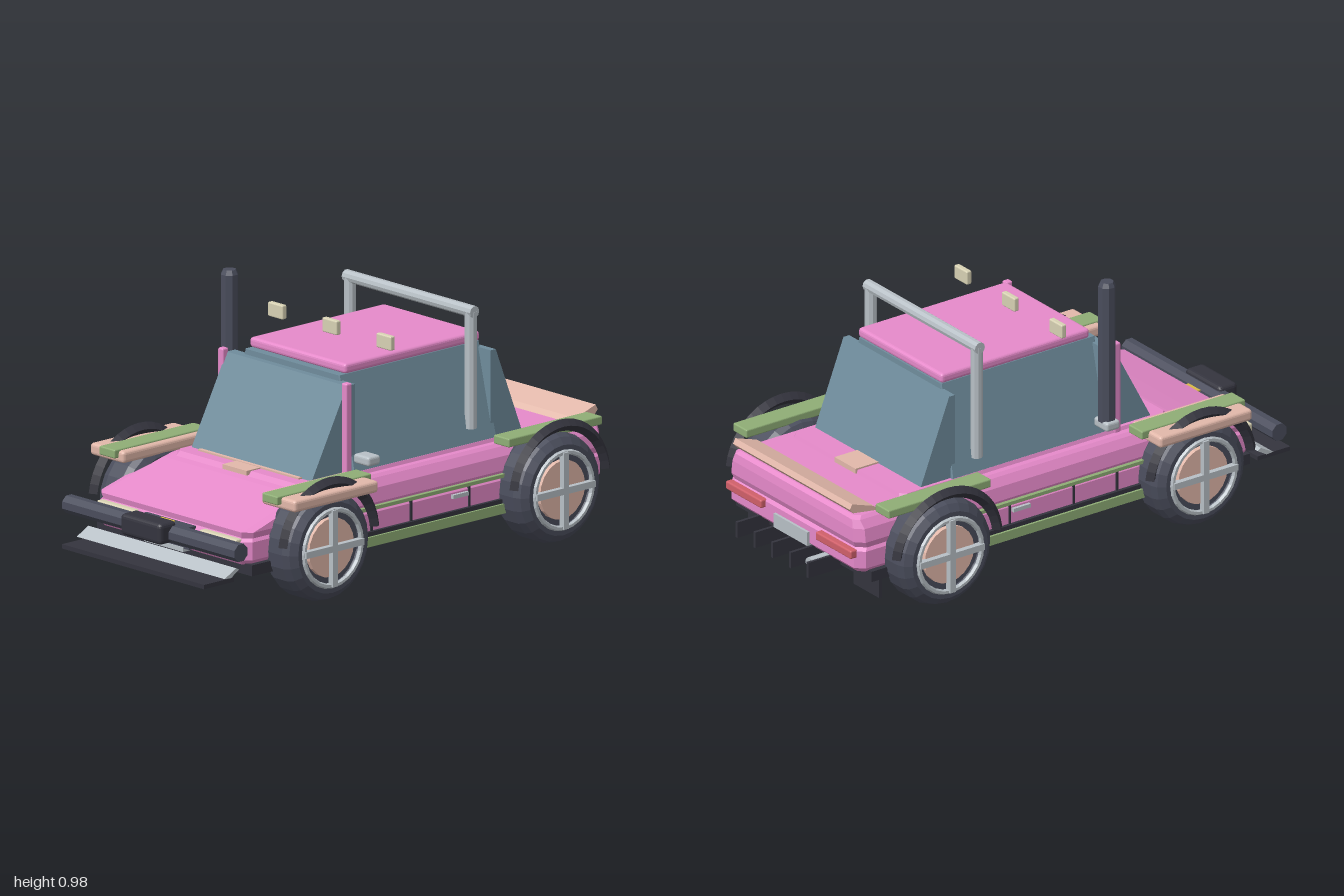
import * as THREE from 'three';
import { RoundedBoxGeometry } from 'three/addons/geometries/RoundedBoxGeometry.js';

const PINK = 0xe68aca, GLASS = 0x6f8c9c, DARK = 0x4a4d5c, BLACK = 0x34343e, GREY = 0xb8c0c6,
  GREEN = 0x8fae76, PEACH = 0xe2b8aa, CREAM = 0xd8d2b4, RED = 0xd0606a, YELLOW = 0xd8b848;

export function createModel() {
  const model = new THREE.Group();
  const mats = {};
  const mat = (color) => (mats[color] ??= new THREE.MeshStandardMaterial({ color, flatShading: true }));

  function add(name, geometry, color, parent = model) {
    const mesh = new THREE.Mesh(geometry, mat(color));
    mesh.name = name;
    parent.add(mesh);
    return mesh;
  }

  // Box given by its limits on each axis; r rounds the edges
  function box(name, color, [x0, x1], [y0, y1], [z0, z1], r = 0) {
    const size = [x1 - x0, y1 - y0, z1 - z0];
    const g = r ? new RoundedBoxGeometry(...size, 2, r) : new THREE.BoxGeometry(...size);
    g.translate((x0 + x1) / 2, (y0 + y1) / 2, (z0 + z1) / 2);
    return add(name, g, color);
  }

  // The same box on both sides
  function pair(name, color, [x0, x1], y, z, r) {
    box(name + 'Left', color, [x0, x1], y, z, r);
    box(name + 'Right', color, [-x1, -x0], y, z, r);
  }

  // Side profile of [z, y] points stretched across the width
  function profile(name, color, points, halfWidth) {
    const shape = new THREE.Shape(points.map(([z, y]) => new THREE.Vector2(z, y)));
    const g = new THREE.ExtrudeGeometry(shape, { depth: halfWidth * 2, bevelEnabled: false });
    g.translate(0, 0, -halfWidth).rotateY(-Math.PI / 2);
    return add(name, g, color);
  }

  // Stack of cut-corner rectangles, each [y, halfWidth, zBack, zFront, corner]
  function loft(name, color, rings) {
    const pos = [], idx = [], n = 8;
    for (const [y, w, b, f, c] of rings) {
      const ring = [[w, b + c], [w, f - c], [w - c, f], [c - w, f], [-w, f - c], [-w, b + c], [c - w, b], [w - c, b]];
      for (const [x, z] of ring) pos.push(x, y, z);
    }
    for (let r = 0; r < rings.length - 1; r++) {
      for (let i = 0; i < n; i++) {
        const a = r * n + i, b = r * n + (i + 1) % n;
        idx.push(a, a + n, b, b, a + n, b + n);
      }
    }
    const top = (rings.length - 1) * n;
    for (let i = 1; i < n - 1; i++) {
      idx.push(0, i, i + 1);
      idx.push(top, top + i + 1, top + i);
    }
    const g = new THREE.BufferGeometry();
    g.setAttribute('position', new THREE.Float32BufferAttribute(pos, 3));
    g.setIndex(idx);
    g.computeVertexNormals();
    return add(name, g, color);
  }

  // Body shell
  box('floor', BLACK, [-0.4, 0.4], [0.13, 0.17], [-0.86, 0.8]);
  loft('lowerBody', PINK, [
    [0.165, 0.375, -0.89, 0.805, 0.02], [0.185, 0.392, -0.91, 0.82, 0.03],
    [0.25, 0.392, -0.91, 0.82, 0.03], [0.265, 0.38, -0.895, 0.81, 0.03]]);
  loft('upperBody', PINK, [
    [0.262, 0.385, -0.9, 0.81, 0.03], [0.285, 0.392, -0.91, 0.815, 0.03],
    [0.335, 0.385, -0.91, 0.64, 0.03], [0.365, 0.365, -0.905, 0.53, 0.02], [0.375, 0.352, -0.89, 0.48, 0.02]]);
  loft('cabinBase', PINK, [[0.36, 0.335, -0.68, 0.51, 0.02], [0.388, 0.325, -0.67, 0.49, 0.02]]);

  // Cabin glass, roof and pillars
  loft('sideWindows', GLASS, [[0.385, 0.325, -0.45, 0.24, 0.004], [0.725, 0.243, -0.44, 0.235, 0.004]]);
  profile('windshield', GLASS, [[0.43, 0.386], [0.26, 0.705], [0.22, 0.705], [0.22, 0.386]], 0.31);
  profile('rearWindow', GLASS, [[-0.58, 0.386], [-0.43, 0.386], [-0.43, 0.705], [-0.455, 0.705]], 0.312);
  box('roof', PINK, [-0.248, 0.248], [0.725, 0.762], [-0.44, 0.21], 0.012);
  pair('pillar', PINK, [0.305, 0.333], [0.37, 0.72], [0.255, 0.283], 0.006);

  // Hood and deck trim
  box('cowlStrip', PEACH, [-0.26, 0.26], [0.38, 0.394], [0.43, 0.445]);
  box('hoodVent', PEACH, [-0.062, 0.062], [0.375, 0.392], [0.425, 0.512]);
  box('deckVent', PEACH, [-0.062, 0.062], [0.375, 0.394], [-0.68, -0.58]);
  profile('spoiler', PEACH, [[-0.79, 0.372], [-0.81, 0.392], [-0.905, 0.424], [-0.915, 0.405], [-0.9, 0.388]], 0.345);

  // Roll bar
  const barPath = new THREE.CurvePath();
  const corners = [[-0.312, 0.44], [-0.312, 0.867], [0.312, 0.867], [0.312, 0.44]]
    .map(([x, y]) => new THREE.Vector3(x, y, -0.335));
  for (let i = 0; i < 3; i++) {
    const along = corners[i + 1].clone().sub(corners[i]);
    const length = along.length() + (i === 1 ? 0.04 : 0);
    const g = new THREE.CylinderGeometry(0.022, 0.022, length, 10);
    if (i === 1) g.rotateZ(Math.PI / 2);
    const middle = corners[i].clone().add(corners[i + 1]).multiplyScalar(0.5);
    g.translate(middle.x, middle.y, middle.z);
    add('rollBar' + ['Right', 'Top', 'Left'][i], g, GREY);
  }

  // Snorkel, roof lamps and mirrors
  const snorkel = new THREE.LatheGeometry(
    [[0, 0.435], [0.026, 0.435], [0.032, 0.445], [0.032, 0.97], [0.024, 0.987], [0, 0.987]]
      .map(([r, y]) => new THREE.Vector2(r, y)), 8, Math.PI / 8);
  add('snorkel', snorkel.translate(-0.355, 0, 0.205), DARK);
  for (const x of [-0.28, 0, 0.28]) {
    box('roofLamp', CREAM, [x - 0.038, x + 0.038], [0.795, 0.847], [0.034, 0.056], 0.005);
  }
  pair('mirror', GREY, [0.315, 0.395], [0.42, 0.455], [0.175, 0.235], 0.01);

  // Wheels with rims and arches
  const tireProfile = [[0.13, -0.08], [0.165, -0.08], [0.188, -0.065], [0.2, -0.04], [0.2, 0.03],
    [0.19, 0.058], [0.165, 0.078], [0.145, 0.078], [0.14, 0.055], [0, 0.055]];
  const tire = new THREE.LatheGeometry(tireProfile.map(([r, y]) => new THREE.Vector2(r, y)), 24).rotateZ(-Math.PI / 2);
  const innerDisc = new THREE.CylinderGeometry(0.14, 0.14, 0.02, 24).rotateZ(Math.PI / 2).translate(-0.07, 0, 0);
  const hubDisc = new THREE.CylinderGeometry(0.108, 0.108, 0.03, 20).rotateZ(Math.PI / 2).translate(0.058, 0, 0);
  const rim = new THREE.TorusGeometry(0.138, 0.01, 6, 24).rotateY(Math.PI / 2).translate(0.078, 0, 0);
  const spoke = new THREE.BoxGeometry(0.024, 0.28, 0.024).translate(0.082, 0, 0);
  const arch = new THREE.TorusGeometry(0.222, 0.022, 4, 20, Math.PI * 0.92)
    .rotateZ(Math.PI * 0.04).rotateY(Math.PI / 2).translate(0.058, 0.01, 0);
  for (const side of [1, -1]) {
    for (const z of [0.515, -0.597]) {
      const wheel = new THREE.Group();
      wheel.name = (z > 0 ? 'front' : 'rear') + 'Wheel' + (side > 0 ? 'Left' : 'Right');
      wheel.position.set(0.432 * side, 0.203, z);
      if (side < 0) wheel.rotation.y = Math.PI;
      add('tire', tire, DARK, wheel);
      add('innerDisc', innerDisc, BLACK, wheel);
      add('hubDisc', hubDisc, PEACH, wheel);
      add('rim', rim, GREY, wheel);
      add('spoke', spoke, GREY, wheel);
      add('spoke', spoke, GREY, wheel).rotation.x = Math.PI / 2;
      add('wheelArch', arch, BLACK, wheel);
      model.add(wheel);
    }
  }

  // Fenders
  pair('frontFender', PEACH, [0.355, 0.53], [0.37, 0.414], [0.31, 0.715], 0.012);
  pair('frontFenderStrip', GREEN, [0.38, 0.46], [0.388, 0.42], [0.28, 0.735], 0.005);
  pair('rearFenderStrip', GREEN, [0.38, 0.46], [0.388, 0.42], [-0.83, -0.38], 0.005);

  // Sills, door seams and handles
  pair('sill', GREEN, [0.385, 0.414], [0.135, 0.17], [-0.42, 0.34]);
  pair('sillStep', BLACK, [0.38, 0.405], [0.17, 0.186], [-0.42, 0.34]);
  pair('sideStripe', GREEN, [0.385, 0.405], [0.263, 0.276], [-0.42, 0.34]);
  for (const z of [0.22, 0.03, -0.25]) pair('doorSeam', BLACK, [0.385, 0.397], [0.186, 0.262], [z - 0.004, z + 0.004]);
  pair('doorHandle', GREY, [0.385, 0.404], [0.23, 0.244], [-0.24, -0.165]);

  // Front end
  const bumper = new THREE.CylinderGeometry(0.034, 0.034, 0.89, 8).rotateY(Math.PI / 8).rotateZ(Math.PI / 2);
  add('frontBumper', bumper.translate(0, 0.243, 0.895), DARK);
  box('winch', BLACK, [-0.105, 0.105], [0.212, 0.29], [0.885, 0.967], 0.016);
  box('grille', DARK, [-0.127, 0.127], [0.18, 0.262], [0.815, 0.85]);
  box('grilleBadge', YELLOW, [-0.035, 0.035], [0.24, 0.266], [0.83, 0.853]);
  box('frontPlate', GREY, [-0.1, 0.1], [0.168, 0.185], [0.82, 0.853]);
  pair('headlamp', CREAM, [0.17, 0.36], [0.205, 0.262], [0.81, 0.84], 0.006);
  profile('skidBar', GREY, [[0.915, 0.138], [0.86, 0.168], [0.845, 0.16], [0.885, 0.136]], 0.382);
  box('splitter', BLACK, [-0.367, 0.367], [0.114, 0.13], [0.857, 1]);

  // Rear end
  pair('tailLamp', RED, [0.16, 0.37], [0.225, 0.257], [-0.93, -0.9], 0.006);
  box('rearPlate', GREY, [-0.1, 0.1], [0.175, 0.228], [-0.92, -0.9]);
  for (const x of [-0.21, -0.105, 0, 0.105, 0.21]) {
    box('diffuserFin', BLACK, [x - 0.006, x + 0.006], [0.115, 0.175], [-1, -0.85]);
  }
  const pipe = new THREE.CylinderGeometry(0.021, 0.021, 0.17, 10).rotateX(Math.PI / 2);
  add('exhaustPipe', pipe.translate(-0.192, 0.16, -0.895), GREY);
  pair('mudFlap', BLACK, [0.237, 0.387], [0.052, 0.16], [-0.818, -0.806]);

  return model;
}
